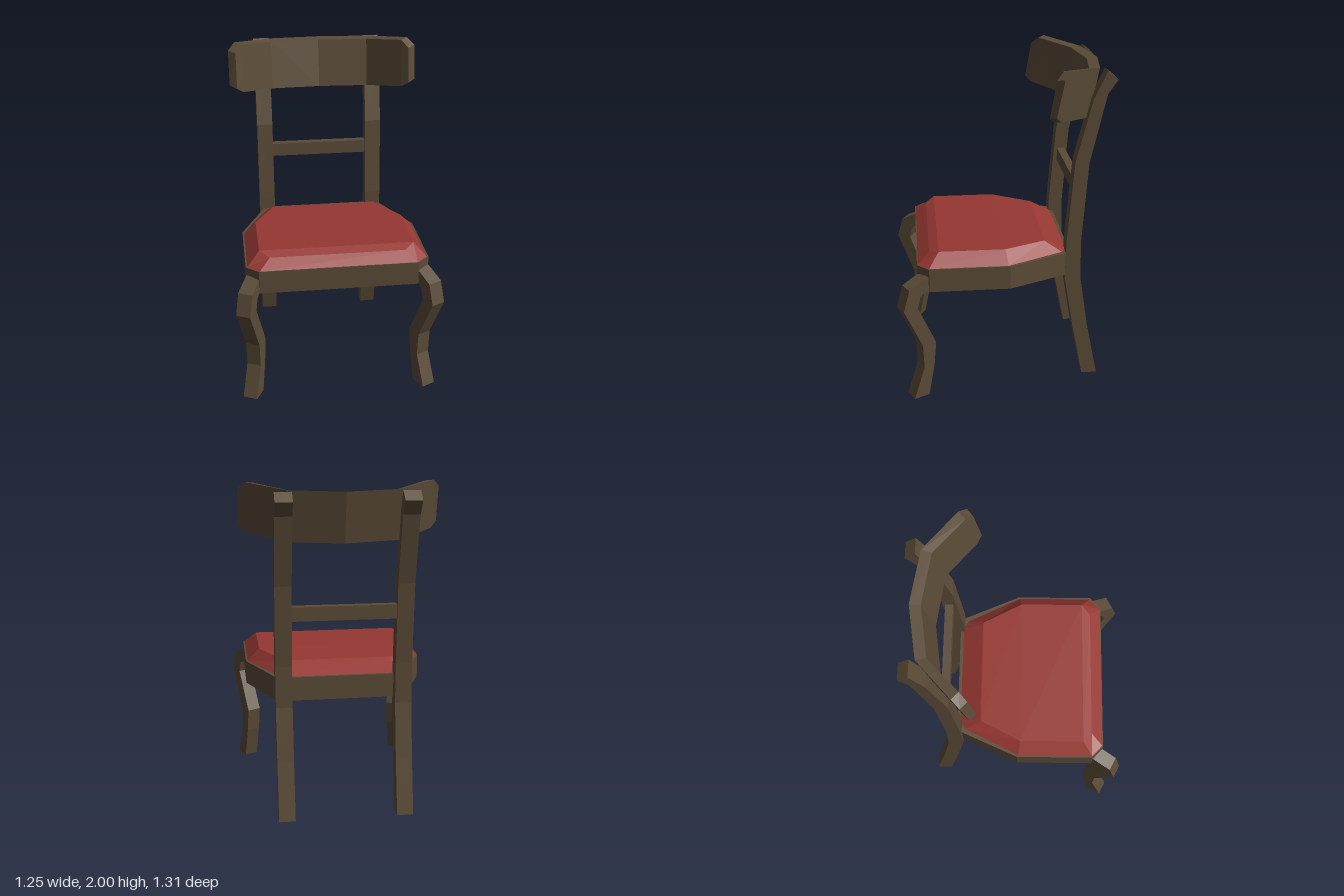
import * as THREE from 'three';

const wood = new THREE.MeshStandardMaterial({ color: 0x5b4b37, flatShading: true });
wood.name = 'dark wood';
const fabric = new THREE.MeshStandardMaterial({ color: 0x963732, flatShading: true });
fabric.name = 'red fabric';

// Joins rings of points (counterclockwise seen from the last ring) and closes both ends
function loft(rings) {
  const n = rings[0].length;
  const pos = [];
  const quad = (a, b, c, d) => [a, b, c, a, c, d].forEach((p) => pos.push(...p));
  for (let r = 0; r < rings.length - 1; r++) {
    for (let j = 0; j < n; j++) {
      const k = (j + 1) % n;
      quad(rings[r][j], rings[r][k], rings[r + 1][k], rings[r + 1][j]);
    }
  }
  const first = rings[0];
  const last = rings[rings.length - 1];
  for (let i = 0; i < n / 2 - 1; i++) {
    quad(last[i], last[i + 1], last[n - 2 - i], last[n - 1 - i]);
    quad(first[n - 1 - i], first[n - 2 - i], first[i + 1], first[i]);
  }
  const geo = new THREE.BufferGeometry();
  geo.setAttribute('position', new THREE.Float32BufferAttribute(pos, 3));
  geo.computeVertexNormals();
  return geo;
}

// Extrudes a side profile, centred on its width
function slab(points, width) {
  const shape = new THREE.Shape(points.map(([x, y]) => new THREE.Vector2(x, y)));
  const geo = new THREE.ExtrudeGeometry(shape, { depth: width, bevelEnabled: false });
  return geo.translate(0, 0, -width / 2);
}

const flip = ([x, y, z]) => [-x, y, z];
const mirrorRing = (half) => [...half, ...half.map(flip).reverse()];

export function createModel() {
  const chair = new THREE.Group();
  chair.name = 'chair';
  const add = (name, geo, mat) => {
    const mesh = new THREE.Mesh(geo, mat);
    mesh.name = name;
    chair.add(mesh);
    return mesh;
  };

  // Seat frame: outline of the left half, front to back
  const frame = [[0.48, 0.53], [0.555, 0.46], [0.555, -0.02], [0.395, -0.38], [0.34, -0.405]];
  add('seatFrame', loft([0.70, 0.845].map((y) => mirrorRing(frame.map(([x, z]) => [x, y, z])))), wood);

  // Cushion with sloping borders
  const cushionBase = [[0.475, 0.525], [0.545, 0.46], [0.545, -0.01], [0.375, -0.355], [0.32, -0.385]];
  const cushionTop = [
    [0.41, 0.897, 0.455], [0.47, 0.92, 0.40], [0.47, 0.92, 0], [0.34, 0.91, -0.25], [0.325, 0.909, -0.256],
  ];
  add('seatCushion', loft([
    mirrorRing(cushionBase.map(([x, z]) => [x, 0.845, z])),
    mirrorRing(cushionTop),
  ]), fabric);

  // Curved front legs set diagonally at the corners
  const frontLeg = slab([
    [-0.05, 0.80], [0, 0.795], [0.118, 0.74], [0.157, 0.61], [0.04, 0.35], [0.034, 0.2], [0.107, 0],
    [0.006, 0], [-0.035, 0.2], [-0.05, 0.35], [0.065, 0.61], [0.045, 0.68], [0.02, 0.702], [-0.05, 0.702],
  ], 0.09);
  for (const side of [1, -1]) {
    const leg = add(side > 0 ? 'frontLegLeft' : 'frontLegRight', frontLeg, wood);
    leg.position.set(side * 0.515, 0, 0.495);
    leg.rotation.y = Math.atan2(-0.89, side * 0.45);
  }

  // Back legs running up into the back posts
  const backLeg = slab([
    [-0.50, 0], [-0.43, 0.35], [-0.373, 0.68], [-0.378, 0.93], [-0.417, 1.43], [-0.51, 1.80], [-0.588, 1.965],
    [-0.65, 1.915], [-0.592, 1.83], [-0.50, 1.42], [-0.467, 0.93], [-0.47, 0.68], [-0.523, 0.35], [-0.595, 0],
  ], 0.10);
  for (const [name, x] of [['backLegLeft', 0.35], ['backLegRight', -0.37]]) {
    const leg = add(name, backLeg, wood);
    leg.position.x = x;
    leg.rotation.y = -Math.PI / 2;
  }

  // Cross rail between the posts
  const rail = add('crossRail', new THREE.BoxGeometry(0.64, 0.085, 0.05), wood);
  rail.position.set(-0.01, 1.248, -0.45);

  // Curved top rail: sections of back top, front top, front bottom, back bottom
  const half = [
    [[0.325, 1.97, -0.555], [0.31, 1.963, -0.495], [0.31, 1.668, -0.442], [0.325, 1.675, -0.50]],
    [[0.55, 2.0, -0.355], [0.505, 1.993, -0.315], [0.505, 1.705, -0.262], [0.55, 1.712, -0.302]],
    [[0.59, 1.96, -0.31], [0.545, 1.95, -0.272], [0.545, 1.735, -0.235], [0.59, 1.75, -0.268]],
  ];
  const middle = [[0, 1.963, -0.605], [0, 1.955, -0.54], [0, 1.66, -0.485], [0, 1.668, -0.55]];
  const otherHalf = half.map((ring) => ring.map(flip)).reverse();
  add('topRail', loft([...otherHalf, middle, ...half]), wood);

  return chair;
}
